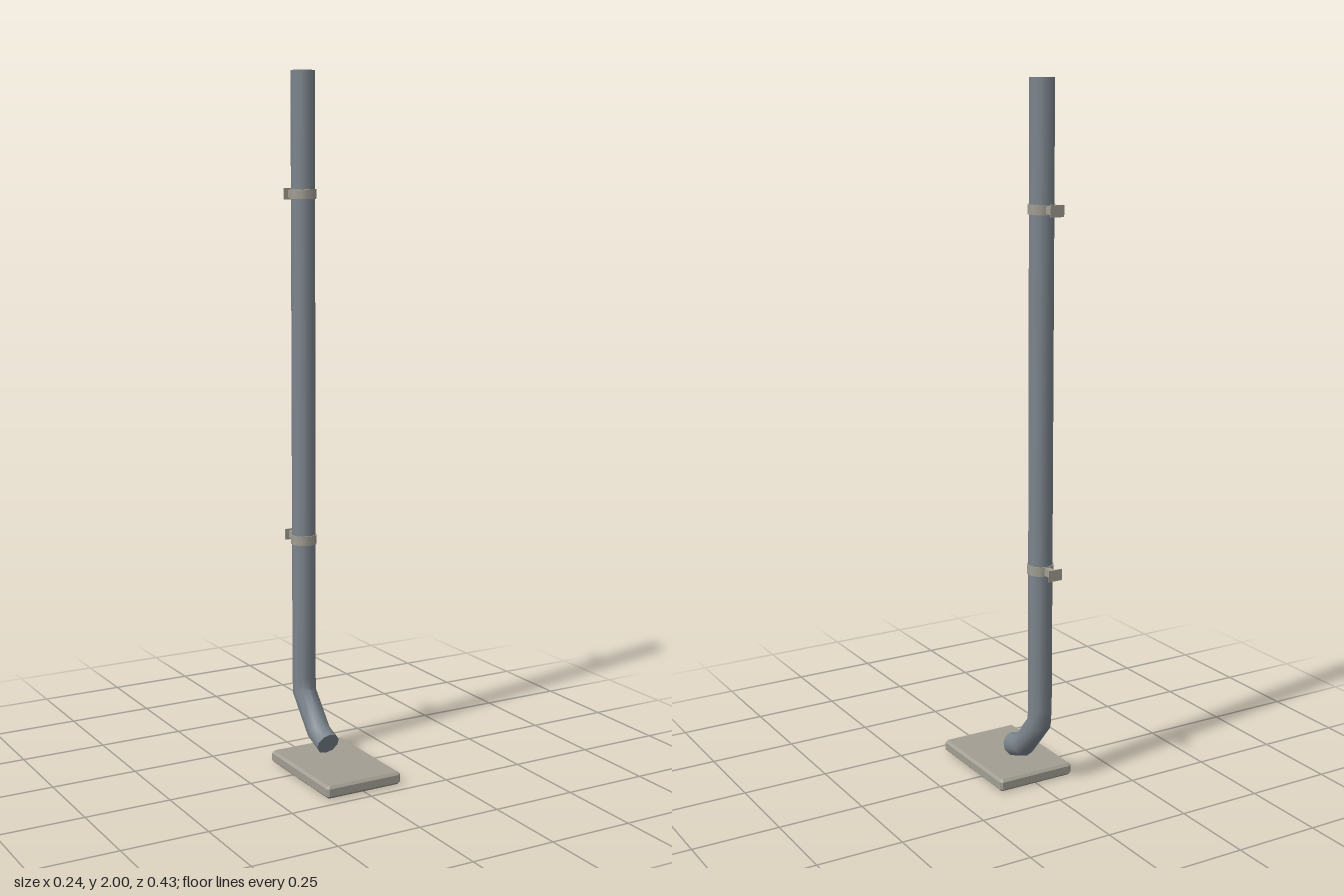
import * as THREE from 'three';
import { toCreasedNormals } from 'three/addons/utils/BufferGeometryUtils.js';

const SIDES = 10;
const PIPE_Z = -0.14;
const PIPE_R = 0.035;

// Pipe: a capped cylinder whose rings are moved onto a bent path.
// Each ring: [centre y, centre z, tilt forward in degrees]
function pipeGeometry() {
  const rings = [
    [2, PIPE_Z, 0],
    [0.24, PIPE_Z, 0],
    [0.194, PIPE_Z + 0.003, 24],
    [0.095, -0.05, 33],
    [0.075, 0.005, 66],
  ];
  rings[3][2] = 58;
  const n = rings.length - 1;
  const geo = new THREE.CylinderGeometry(PIPE_R, PIPE_R, n, SIDES, n);
  const pos = geo.attributes.position;
  for (let i = 0; i < pos.count; i++) {
    const [y, z, tilt] = rings[Math.round(n / 2 - pos.getY(i))];
    const a = THREE.MathUtils.degToRad(tilt);
    const d = pos.getZ(i);
    pos.setXYZ(i, pos.getX(i), y + d * Math.sin(a), z + d * Math.cos(a));
  }
  return toCreasedNormals(geo, 0.9);
}

// Splash plate: rectangle with all edges chamfered
function plateGeometry(width, depth, height, c) {
  const x = width / 2 - c, y = depth / 2 - c, k = 0.003;
  const shape = new THREE.Shape([
    [-x + k, -y], [x - k, -y], [x, -y + k], [x, y - k],
    [x - k, y], [-x + k, y], [-x, y - k], [-x, -y + k],
  ].map(([a, b]) => new THREE.Vector2(a, b)));
  const geo = new THREE.ExtrudeGeometry(shape, {
    depth: height - 2 * c, bevelEnabled: true,
    bevelThickness: c, bevelSize: c, bevelSegments: 1,
  });
  geo.translate(0, 0, c);
  geo.rotateX(-Math.PI / 2);
  return geo;
}

export function createModel() {
  const model = new THREE.Group();
  model.name = 'downpipe';

  const metal = new THREE.MeshStandardMaterial({ color: 0x7c858d });
  metal.name = 'grey metal';
  const stone = new THREE.MeshStandardMaterial({ color: 0xa29e93 });
  stone.name = 'warm grey';

  const add = (parent, name, geo, mat, x, y, z) => {
    const mesh = new THREE.Mesh(geo, mat);
    mesh.name = name;
    mesh.position.set(x, y, z);
    parent.add(mesh);
    return mesh;
  };

  add(model, 'pipe', pipeGeometry(), metal, 0, 0, 0);
  add(model, 'splashPlate', plateGeometry(0.24, 0.34, 0.036, 0.007), stone, 0, 0, 0.045);

  // Wall brackets: a ring round the pipe, a stem and a fixing plate
  for (const [name, y] of [['lowerBracket', 0.657], ['upperBracket', 1.657]]) {
    const bracket = new THREE.Group();
    bracket.name = name;
    bracket.position.set(0, y, PIPE_Z);
    add(bracket, 'clampRing', new THREE.CylinderGeometry(0.0385, 0.0385, 0.027, SIDES), stone, 0, 0, 0);
    add(bracket, 'stem', new THREE.BoxGeometry(0.016, 0.022, 0.044), stone, 0, 0, -0.055);
    add(bracket, 'fixingPlate', new THREE.BoxGeometry(0.042, 0.032, 0.003), stone, 0, 0, -0.0775);
    model.add(bracket);
  }
  return model;
}
